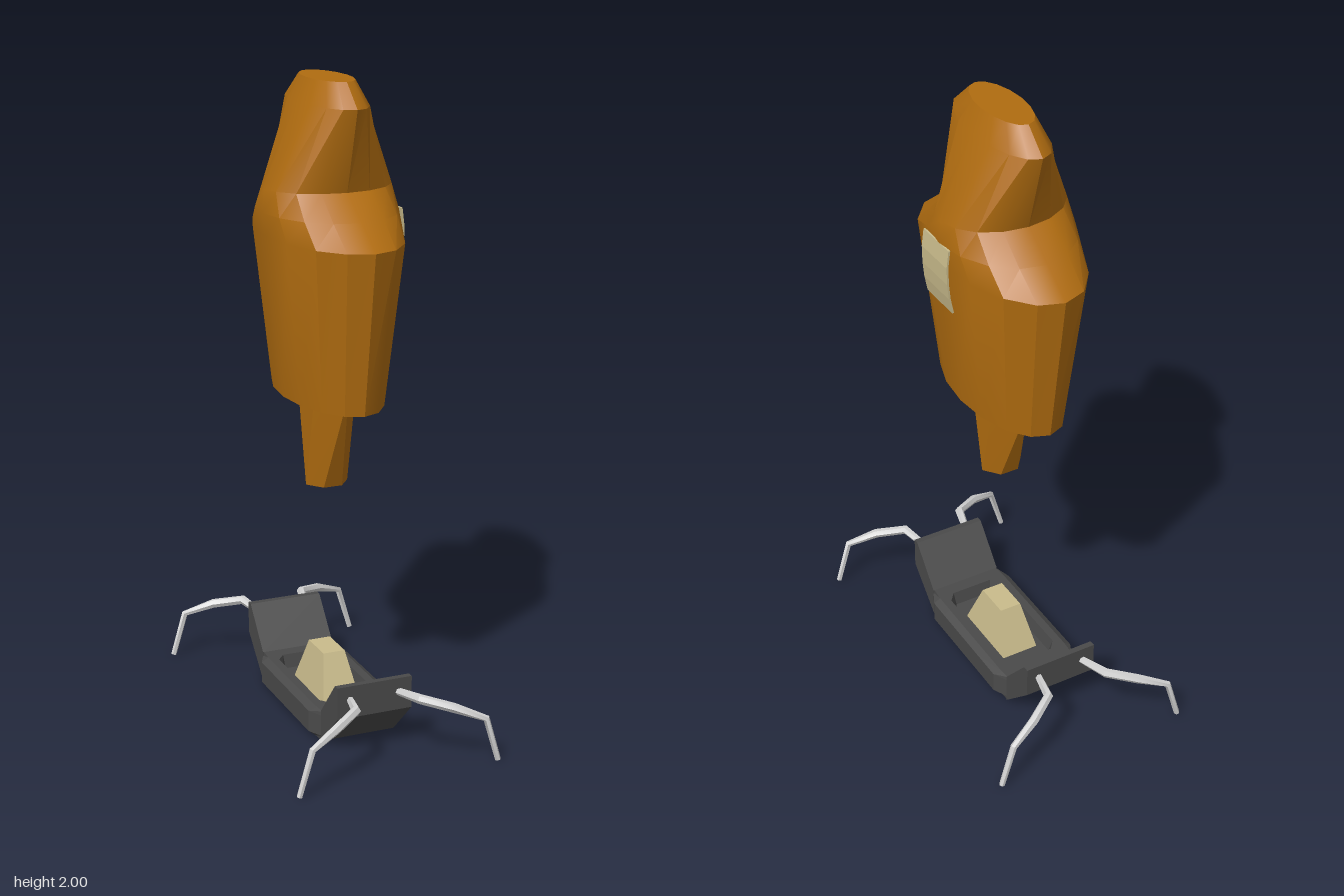
import * as THREE from 'three';
import { toCreasedNormals } from 'three/addons/utils/BufferGeometryUtils.js';

const V = (x, y, z) => new THREE.Vector3(x, y, z);
const material = (name, color) => {
  const m = new THREE.MeshStandardMaterial({ color });
  m.name = name;
  return m;
};

// Skin a list of rings (equal point counts, bottom to top) and cap both ends.
function loft(rings, crease) {
  const n = rings[0].length, pos = [], index = [];
  rings.forEach(r => r.forEach(p => pos.push(p.x, p.y, p.z)));
  for (let r = 0; r < rings.length - 1; r++) {
    for (let i = 0; i < n; i++) {
      const a = r * n + i, b = r * n + (i + 1) % n;
      index.push(a, a + n, b, b, a + n, b + n);
    }
  }
  [0, rings.length - 1].forEach((r, top) => {
    const c = pos.length / 3;
    const mid = rings[r].reduce((s, p) => s.add(p), V(0, 0, 0)).divideScalar(n);
    pos.push(mid.x, mid.y, mid.z);
    for (let i = 0; i < n; i++) {
      const a = r * n + i, b = r * n + (i + 1) % n;
      index.push(c, top ? b : a, top ? a : b);
    }
  });
  const g = new THREE.BufferGeometry();
  g.setAttribute('position', new THREE.Float32BufferAttribute(pos, 3));
  g.setIndex(index);
  return toCreasedNormals(g, crease);
}

const oval = ([y, rx, rz], n = 16) => Array.from({ length: n }, (_, i) => {
  const a = i / n * Math.PI * 2;
  return V(rx * Math.cos(a), y, rz * Math.sin(a));
});

// Eight-point outline: long sides at x = w, ends at z = d
const octagon = (y, w, a, b, d) => [
  V(w, y, -a), V(w, y, a), V(b, y, d), V(-b, y, d),
  V(-w, y, a), V(-w, y, -a), V(-b, y, -d), V(b, y, -d)];

const rectangle = (y, w, d) => [V(w, y, -d), V(w, y, d), V(-w, y, d), V(-w, y, -d)];

// Tapered six-sided leg, mirrored by the signs sx and sz
function legGeometry(sx, sz) {
  const path = [
    [0.075, 0.185, 0.355, 0.011], [0.105, 0.2, 0.475, 0.015], [0.19, 0.18, 0.53, 0.015],
    [0.28, 0.145, 0.565, 0.011], [0.322, 0.004, 0.565, 0.009]];
  const pts = path.map(([x, y, z]) => V(x * sx, y, z * sz));
  const side = V(0.21 * sz, 0, -0.25 * sx).normalize();
  const rings = pts.map((p, k) => {
    const t = pts[Math.min(k + 1, 4)].clone().sub(pts[Math.max(k - 1, 0)]).normalize();
    const u = side.clone().addScaledVector(t, -side.dot(t)).normalize();
    const v = u.clone().cross(t);
    return Array.from({ length: 6 }, (_, i) => {
      const a = i / 6 * Math.PI * 2, r = path[k][3];
      return p.clone().addScaledVector(u, r * Math.cos(a)).addScaledVector(v, r * Math.sin(a));
    });
  });
  return loft(rings, 0.7);
}

export function createModel() {
  const model = new THREE.Group();
  const amber = material('amber', 0xb06c10);
  const charcoal = material('charcoal', 0x4a4a4a);
  const cream = material('cream', 0xcabc8c);
  const silver = material('silver', 0xd2d2d2);
  cream.side = THREE.DoubleSide;
  const add = (name, geometry, mat) => {
    const mesh = new THREE.Mesh(geometry, mat);
    mesh.name = name;
    model.add(mesh);
    return mesh;
  };

  // Floating body, shoulders, neck and head: y, half width, half depth
  add('bodyAndHead', loft([
    [1.04, 0.142, 0.29], [1.54, 0.198, 0.362], [1.61, 0.206, 0.26], [1.68, 0.2, 0.155],
    [1.93, 0.096, 0.228], [2, 0.065, 0.15]].map(s => oval(s)), 0.5), amber);

  // Tapering tail below the body
  add('tail', loft([
    octagon(0.75, 0.068, 0.002, 0.03, 0.05),
    octagon(1.05, 0.068, 0.065, 0.002, 0.16)], 0.1), amber);

  // Curved plate on the left flank
  const plate = [[0.197, 1.4], [0.207, 1.45], [0.212, 1.5], [0.213, 1.555], [0.206, 1.61]];
  const outline = new THREE.Shape([
    ...plate.map(([x, y]) => new THREE.Vector2(x, y)),
    ...plate.slice().reverse().map(([x, y]) => new THREE.Vector2(x - 0.006, y))]);
  add('flankPlate', new THREE.ExtrudeGeometry(outline, { depth: 0.15, bevelEnabled: false })
    .translate(0, 0, -0.058), cream);

  // Bevelled tray with a recess in its top
  add('baseTray', loft([
    octagon(0.004, 0.121, 0.2, 0.118, 0.245), octagon(0.022, 0.144, 0.2, 0.12, 0.25),
    octagon(0.09, 0.144, 0.2, 0.12, 0.25), octagon(0.104, 0.122, 0.2, 0.118, 0.25),
    octagon(0.104, 0.095, 0.17, 0.07, 0.2), octagon(0.06, 0.085, 0.16, 0.065, 0.19)], 0.1), charcoal);

  // Raised ramps at both ends of the tray
  const ramp = new THREE.Shape([[0.245, 0.004], [0.375, 0.13], [0.375, 0.232], [0.355, 0.232], [0.245, 0.104]]
    .map(([z, y]) => new THREE.Vector2(z, y)));
  for (const s of [1, -1]) {
    const g = new THREE.ExtrudeGeometry(ramp, { depth: 0.244, bevelEnabled: false });
    g.translate(0, 0, -0.122).rotateY(-s * Math.PI / 2);
    add(s > 0 ? 'frontRamp' : 'backRamp', g, charcoal);
  }

  // Tapered block seated in the tray
  add('emitterBlock', loft([rectangle(0.06, 0.062, 0.122), rectangle(0.206, 0.036, 0.06)], 0.1), cream);

  // Four bent legs
  for (const sx of [1, -1]) {
    for (const sz of [1, -1]) {
      add((sz > 0 ? 'front' : 'back') + (sx > 0 ? 'Left' : 'Right') + 'Leg', legGeometry(sx, sz), silver);
    }
  }
  return model;
}
